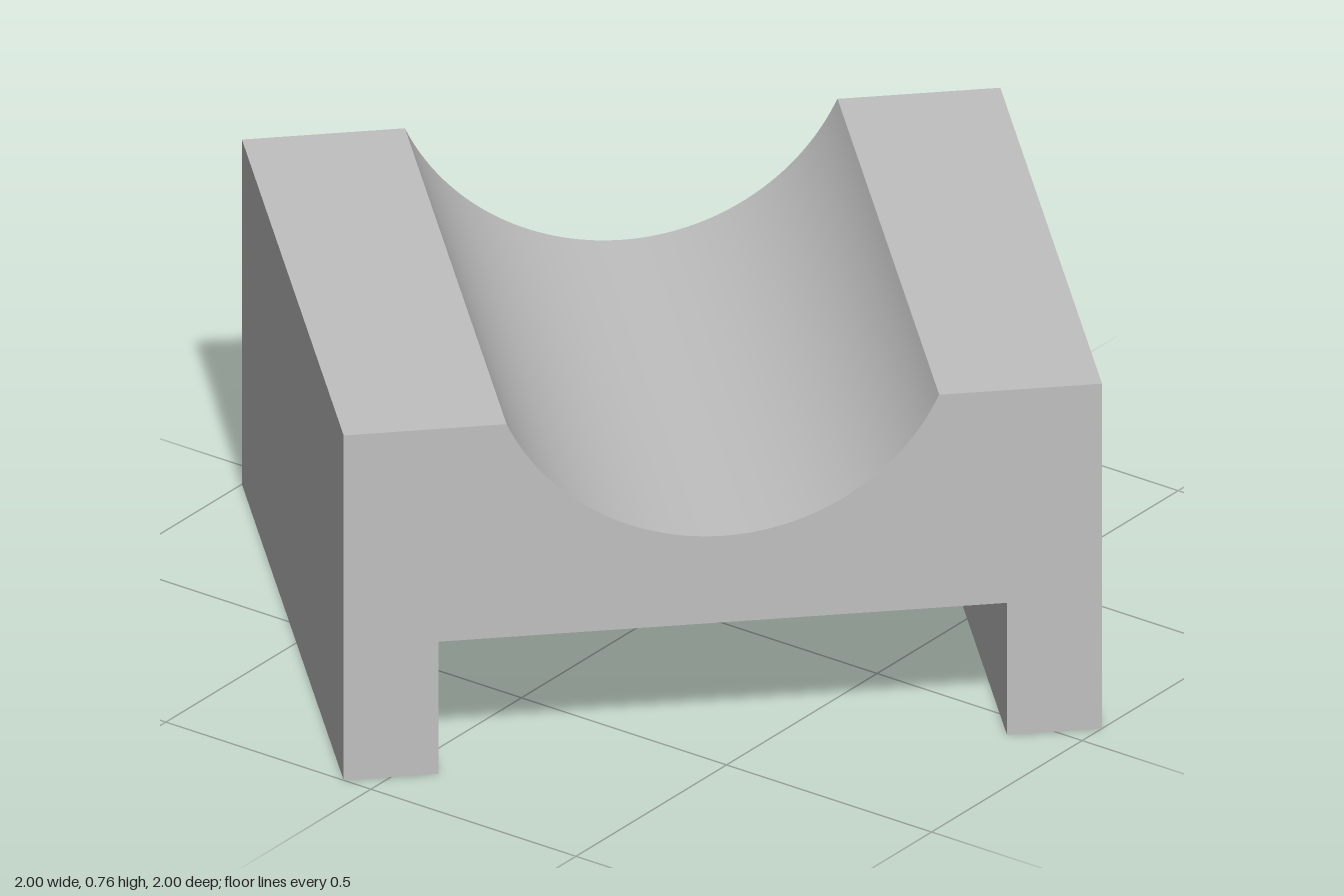
import * as THREE from 'three';
import { toCreasedNormals } from 'three/addons/utils/BufferGeometryUtils.js';

export function createModel() {
  const group = new THREE.Group();
  group.name = 'cradleBlock';
  const grey = new THREE.MeshStandardMaterial({ color: 0xc0c0c0 });
  grey.name = 'grey';

  const halfWidth = 0.754, height = 0.757, length = 1.32;
  const slotHalf = 0.565, slotHeight = 0.29;
  const radius = 0.472, grooveBottom = 0.48, grooveHalf = 0.431;

  // Cross-section: two feet, a square slot below and a round groove on top
  const arcY = grooveBottom + radius;
  const dip = Math.atan2(arcY - height, grooveHalf);
  const profile = new THREE.Shape();
  profile.moveTo(-halfWidth, 0);
  profile.lineTo(-slotHalf, 0);
  profile.lineTo(-slotHalf, slotHeight);
  profile.lineTo(slotHalf, slotHeight);
  profile.lineTo(slotHalf, 0);
  profile.lineTo(halfWidth, 0);
  profile.lineTo(halfWidth, height);
  profile.lineTo(grooveHalf, height);
  profile.absarc(0, arcY, radius, -dip, -Math.PI + dip, true);
  profile.lineTo(-halfWidth, height);
  profile.closePath();

  const geometry = new THREE.ExtrudeGeometry(profile, {
    depth: length, bevelEnabled: false, curveSegments: 48,
  });
  geometry.translate(0, 0, -length / 2);

  // The block stands turned by an eighth of a circle
  const block = new THREE.Mesh(toCreasedNormals(geometry, 0.4), grey);
  block.name = 'groovedBlock';
  block.rotation.y = -Math.PI / 4;
  group.add(block);
  return group;
}
